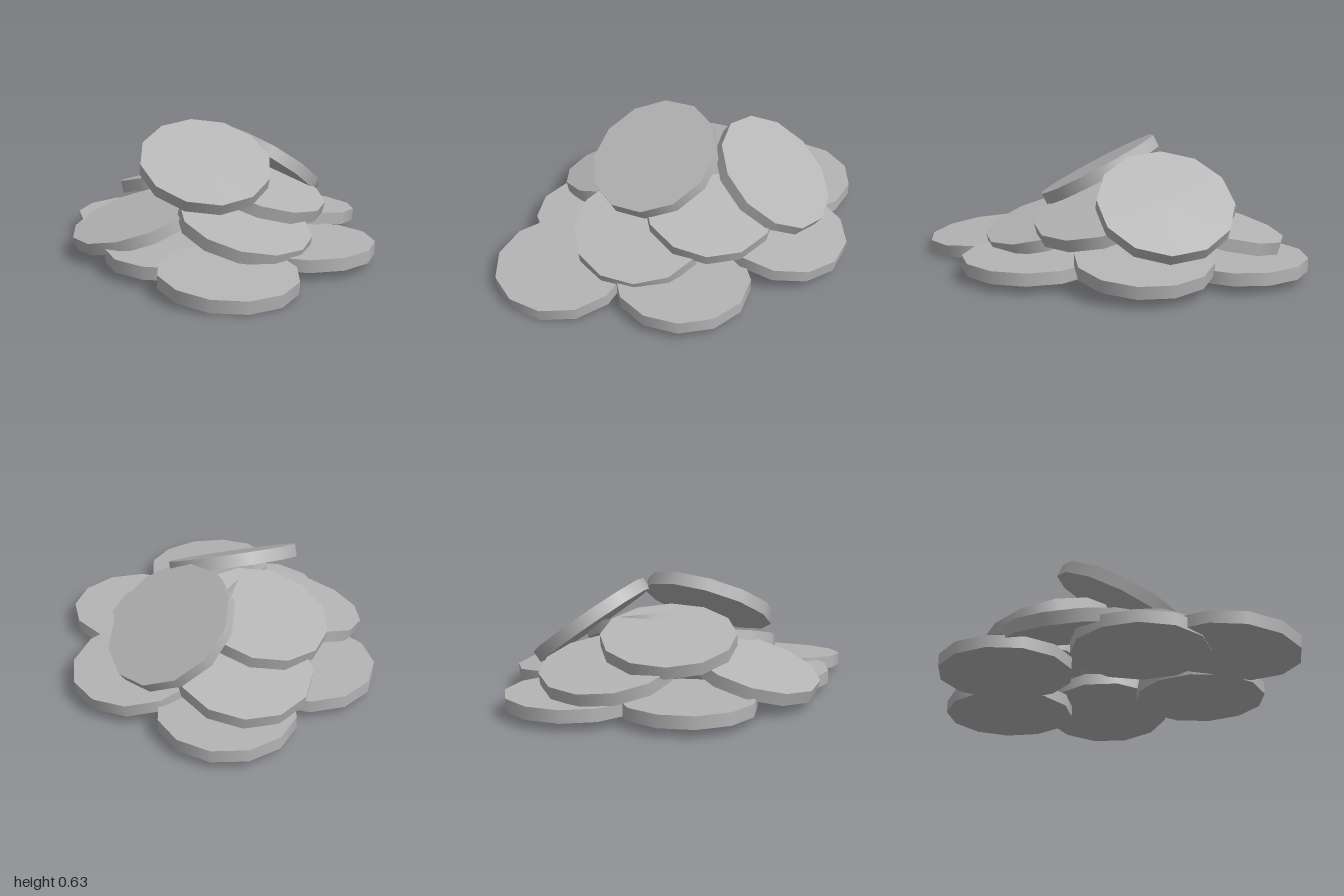
import * as THREE from 'three';

// A loose heap of twelve-sided discs.
const RADIUS = 0.328;
const THICKNESS = 0.062;

// Each disc: name, centre [x, y, z], rise of its face along x and z, turn in degrees
const DISCS = [
  // ground ring
  ['frontDisc', [0.02, 0.062, 0.68], -0.055, -0.09, 15],
  ['frontLeftDisc', [0.42, 0.07, 0.23], 0, 0, 4],
  ['frontRightDisc', [-0.23, 0.07, 0.34], 0, 0, 25],
  ['backRightDisc', [-0.425, 0.07, -0.33], 0, 0, 3],
  ['backDisc', [-0.015, 0.07, -0.685], 0, 0, 15],
  ['backLeftDisc', [0.39, 0.118, -0.36], -0.11, 0.08, 11],
  // leaning middle layer
  ['rightLeaningDisc', [-0.42, 0.17, 0.085], 0.29, -0.1, 14],
  ['frontLeaningDisc', [0.11, 0.19, 0.29], -0.22, -0.2, 5],
  ['leftLeaningDisc', [0.21, 0.29, -0.05], -0.29, -0.13, 4],
  ['backLeaningDisc', [-0.1, 0.205, -0.54], 0.1, 0.22, 2],
  ['upperRightDisc', [-0.2, 0.32, -0.26], 0.2, 0.19, 11],
  // steep discs on top
  ['steepLeftDisc', [0.235, 0.366, -0.4], -0.6, 0.41, 0],
  ['topDisc', [-0.079, 0.448, 0.096], -0.14, -0.52, 15],
];

export function createModel() {
  const group = new THREE.Group();
  group.name = 'discPile';
  const metal = new THREE.MeshStandardMaterial({ color: 0xb4b4b4 });
  metal.name = 'grey metal';
  const geometry = new THREE.CylinderGeometry(RADIUS, RADIUS, THICKNESS, 12);
  const up = new THREE.Vector3(0, 1, 0);

  for (const [name, centre, riseX, riseZ, turn] of DISCS) {
    const disc = new THREE.Mesh(geometry, metal);
    disc.name = name;
    disc.position.set(...centre);
    // tilt to the slope, then turn about the disc's own axis
    const normal = new THREE.Vector3(-riseX, 1, -riseZ).normalize();
    disc.quaternion.setFromUnitVectors(up, normal);
    disc.rotateY(-THREE.MathUtils.degToRad(turn));
    group.add(disc);
  }
  return group;
}
